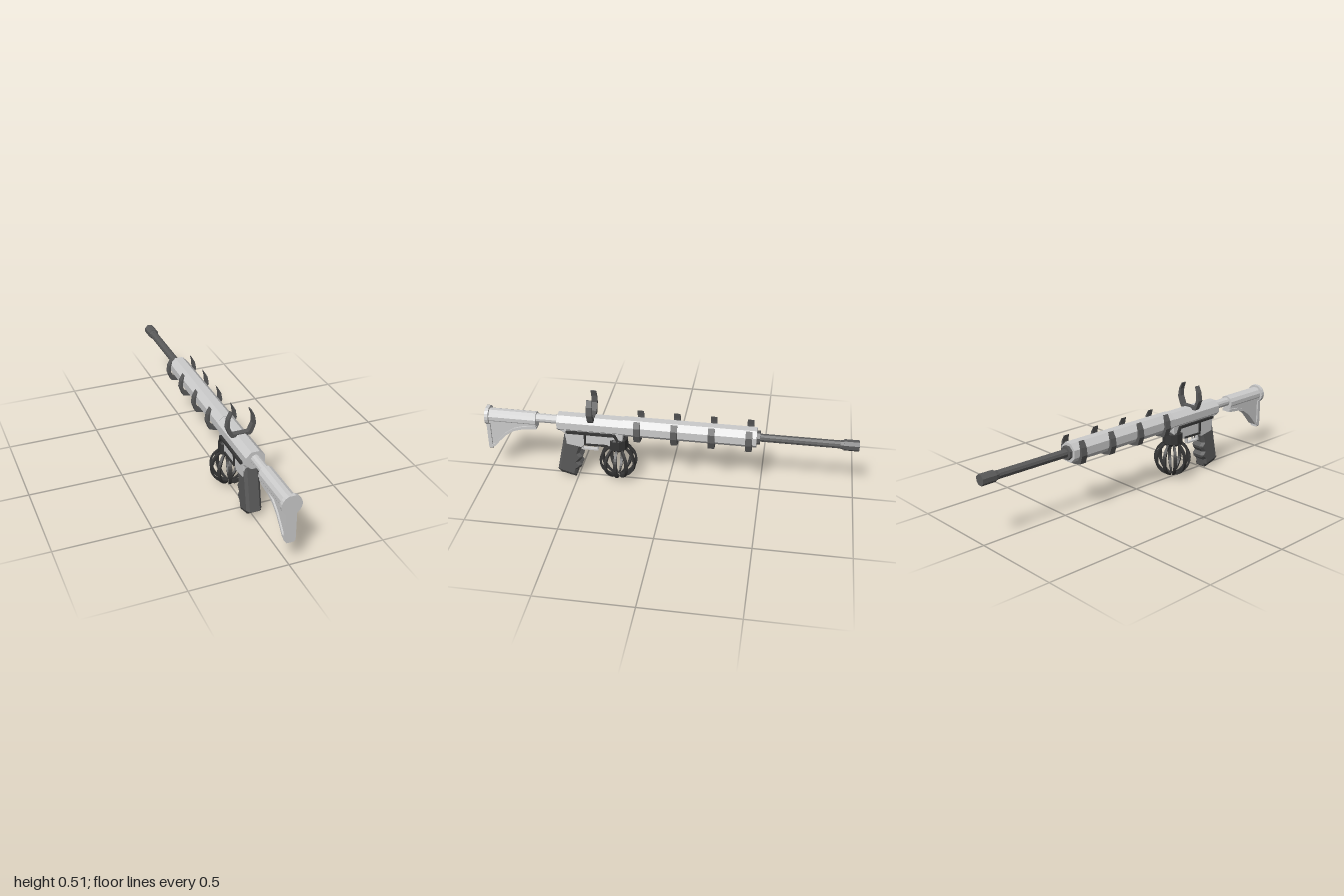
import * as THREE from 'three';

const mat = (color) => new THREE.MeshStandardMaterial({ color, flatShading: true, side: THREE.DoubleSide });

export function createModel() {
  const model = new THREE.Group();
  const light = mat(0xcccccc), dark = mat(0x5a5a5a), black = mat(0x363636);
  const AXIS = 0.336;

  const add = (name, geo, material) => {
    const m = new THREE.Mesh(geo, material);
    m.name = name;
    model.add(m);
    return m;
  };
  const shapeOf = (pts) => new THREE.Shape(pts.map((p) => new THREE.Vector2(p[0], p[1])));

  // Prism or cylinder lying along z, with a flat on top
  const rod = (name, z0, z1, r0, r1, sides, material, y = AXIS) => {
    const g = new THREE.CylinderGeometry(r1, r0, z1 - z0, sides);
    g.rotateY(Math.PI / sides).rotateX(Math.PI / 2).translate(0, y, (z0 + z1) / 2);
    return add(name, g, material);
  };
  // Side profile given as [z, y], extruded across x with chamfered edges
  const slab = (name, pts, halfWidth, bevel, material) => {
    const g = new THREE.ExtrudeGeometry(shapeOf(pts), {
      depth: 2 * (halfWidth - bevel), bevelEnabled: bevel > 0, bevelSegments: 1,
      bevelSize: bevel, bevelThickness: bevel, bevelOffset: -bevel,
    });
    g.translate(0, 0, bevel - halfWidth).rotateY(-Math.PI / 2);
    return add(name, g, material);
  };
  // Front profile [x, y] of the +x half, mirrored and extruded along z
  const frontPlate = (name, half, z, depth, material) => {
    const pts = [...half, ...half.slice().reverse().map(([x, y]) => [-x, y])];
    const g = new THREE.ExtrudeGeometry(shapeOf(pts), { depth, bevelEnabled: false });
    g.translate(0, 0, z - depth / 2);
    return add(name, g, material);
  };
  // Straight square bar between two points
  const bar = (name, a, b, size, material) => {
    const p = new THREE.Vector3(...a), q = new THREE.Vector3(...b);
    const m = add(name, new THREE.BoxGeometry(size, size, p.distanceTo(q) + size * 0.6), material);
    m.position.copy(p).lerp(q, 0.5);
    m.lookAt(q);
    return m;
  };

  // Barrel and muzzle
  rod('barrel', -0.92, -0.46, 0.022, 0.022, 10, dark);
  rod('muzzle', -1, -0.92, 0.03, 0.03, 8, dark);
  rod('muzzleTaper', -0.935, -0.9, 0.03, 0.022, 8, dark);
  rod('barrelCollar', -0.487, -0.46, 0.038, 0.038, 8, dark);

  // Handguard and upper receiver
  rod('handguard', -0.47, 0.24, 0.055, 0.055, 8, light);
  const upper = rod('upperReceiver', 0.22, 0.6, 0.051, 0.051, 8, light);
  upper.scale.x = 1.08;

  // Lower receiver
  slab('lowerReceiver', [[0.59, 0.33], [0.585, 0.3], [0.56, 0.285], [0.555, 0.215], [0.47, 0.2],
    [0.45, 0.222], [0.25, 0.222], [0.24, 0.29], [0.24, 0.33]], 0.042, 0.004, light);

  // Stock with its tube, web, lower flange and butt plate
  rod('bufferTube', 0.59, 0.73, 0.025, 0.025, 12, light, 0.343);
  rod('stockTube', 0.72, 0.985, 0.041, 0.041, 12, light, 0.336);
  const curve = [[0.72, 0.283], [0.8, 0.275], [0.85, 0.26], [0.9, 0.225], [0.94, 0.18], [0.965, 0.15], [0.985, 0.14]];
  slab('stockWeb', [[0.985, 0.33], [0.72, 0.33], ...curve], 0.018, 0, light);
  slab('stockFlange', [...curve, ...curve.slice().reverse().map(([z, y]) => [z, y + 0.016])], 0.027, 0, light);
  slab('stockUpperBlock', [[0.72, 0.336], [0.72, 0.305], [0.985, 0.305], [0.985, 0.336]], 0.036, 0, light);
  const butt = [[0, 0.39]];
  for (let i = 1; i <= 8; i++) {
    const a = (i / 8) * 2.6;
    butt.push([0.053 * Math.sin(a), 0.337 + 0.053 * Math.cos(a)]);
  }
  butt.push([0.027, 0.14], [0.018, 0.13]);
  frontPlate('buttPlate', butt.slice(1), 0.99, 0.02, light);

  // Claw bands under the handguard
  const band = [[0.028, 0.275], [0.068, 0.285], [0.084, 0.33], [0.077, 0.372], [0.058, 0.405],
    [0.066, 0.37], [0.068, 0.335], [0.052, 0.302], [0.024, 0.287]];
  for (const z of [0.16, -0.038, -0.235, -0.431]) frontPlate('clawBand', band, z, 0.035, dark);

  // Upright sight claw on the receiver
  frontPlate('sightClaw', [[0.02, 0.372], [0.052, 0.372], [0.063, 0.387], [0.079, 0.43], [0.071, 0.477], [0.053, 0.512],
    [0.048, 0.51], [0.06, 0.475], [0.061, 0.433], [0.042, 0.39], [0.02, 0.389]], 0.412, 0.03, dark);

  // Grip with finger grooves
  slab('grip', [[0.565, 0.275], [0.58, 0.2], [0.613, 0.04], [0.595, 0.028], [0.51, 0.004], [0.503, 0.045], [0.482, 0.062],
    [0.475, 0.08], [0.492, 0.098], [0.475, 0.12], [0.47, 0.135], [0.488, 0.155], [0.478, 0.185], [0.468, 0.21], [0.49, 0.26]],
  0.041, 0.014, dark);
  slab('gripCap', [[0.612, 0.043], [0.592, 0.022], [0.512, 0], [0.508, 0.02]], 0.036, 0.004, black);

  // Trigger guard and trigger
  const guard = [[0.47, 0.215], [0.475, 0.172], [0.39, 0.172], [0.383, 0.222]];
  for (let i = 0; i < 3; i++) {
    bar('triggerGuard', [0, guard[i][1], guard[i][0]], [0, guard[i + 1][1], guard[i + 1][0]], 0.008, light).scale.x = 2.5;
  }
  bar('trigger', [0, 0.222, 0.43], [0, 0.188, 0.436], 0.01, light);

  // Side rails and braces that hold the cage
  for (const s of [-1, 1]) {
    bar('sideRail', [s * 0.051, 0.3, 0.545], [s * 0.051, 0.3, 0.285], 0.013, black);
    bar('railEnd', [s * 0.051, 0.3, 0.285], [s * 0.046, 0.265, 0.27], 0.013, black);
    bar('sideBrace', [s * 0.047, 0.3, 0.448], [s * 0.044, 0.226, 0.448], 0.01, black);
    bar('lowerBrace', [s * 0.044, 0.226, 0.448], [s * 0.044, 0.228, 0.33], 0.01, black);
  }

  // Cage cap
  const CZ = 0.277, CY = 0.115;
  const cap = new THREE.LatheGeometry([[0, 0.283], [0.036, 0.283], [0.043, 0.27], [0.057, 0.262], [0.057, 0.205],
    [0.042, 0.19], [0, 0.19]].map((p) => new THREE.Vector2(...p)), 10);
  add('cageCap', cap, black).position.z = CZ;

  // Curved ribs, tapering towards the bottom pole
  const STEPS = 18, pos = [], index = [];
  for (let i = 0; i <= STEPS; i++) {
    const a = 0.35 + (i / STEPS) * (Math.PI - 0.45);
    const w = 0.002 + 0.007 * Math.sin(a);
    for (const [r, side] of [[0.103, 1], [0.103, -1], [0.092, -1], [0.092, 1]]) {
      pos.push(r * Math.sin(a), CY + r * Math.cos(a), side * w);
    }
    if (i < STEPS) {
      for (let k = 0; k < 4; k++) {
        const p = i * 4 + k, q = i * 4 + ((k + 1) % 4);
        index.push(p, p + 4, q, q, p + 4, q + 4);
      }
    }
  }
  const rib = new THREE.BufferGeometry();
  rib.setAttribute('position', new THREE.Float32BufferAttribute(pos, 3));
  rib.setIndex(index);
  rib.computeVertexNormals();
  for (let i = 0; i < 10; i++) {
    const m = add('cageRib', rib, black);
    m.position.z = CZ;
    m.rotation.y = (i / 10) * Math.PI * 2;
  }

  return model;
}
